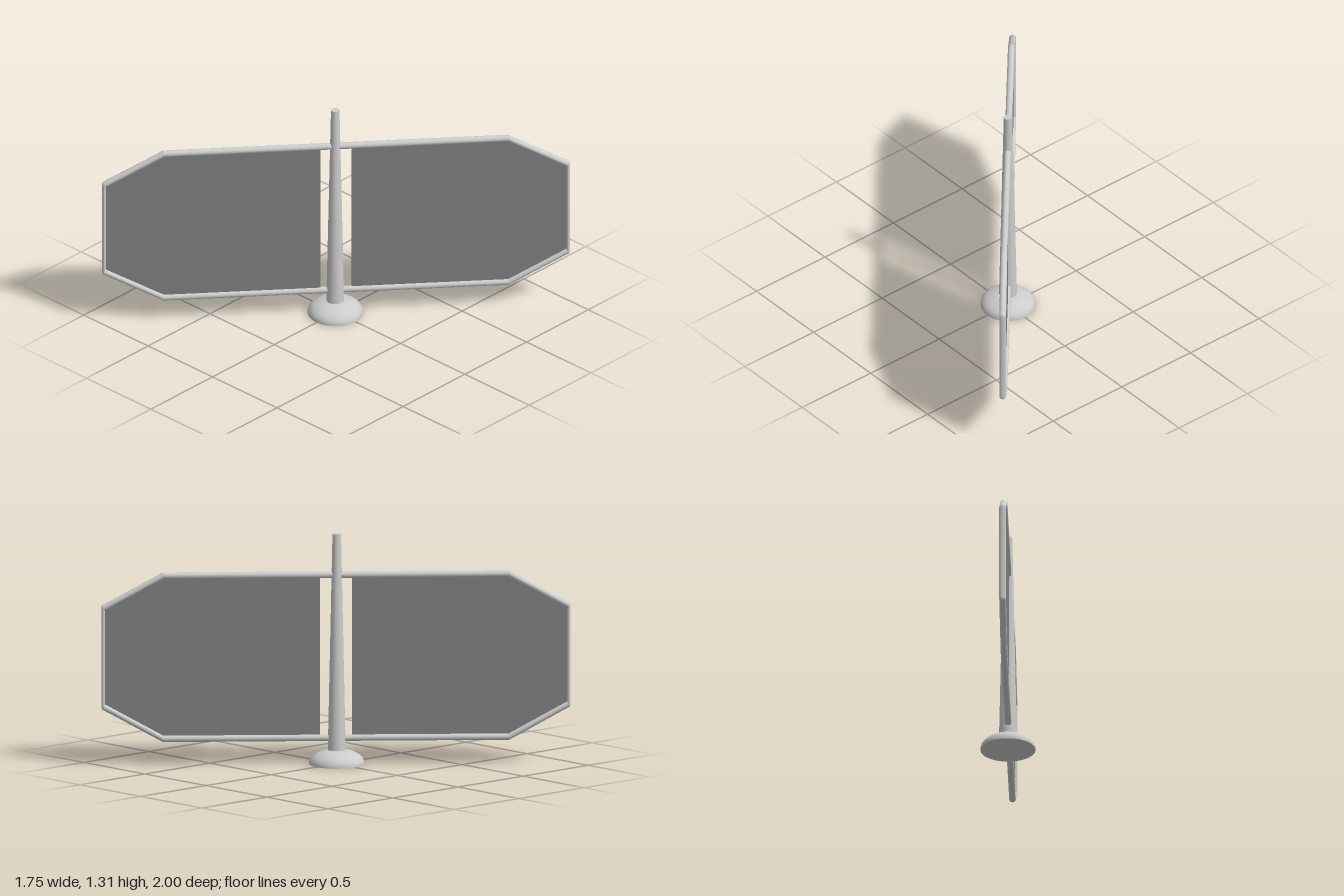
import * as THREE from 'three';

export function createModel() {
  const model = new THREE.Group();
  const metal = new THREE.MeshStandardMaterial({ color: 0xcccccc });
  metal.name = 'light grey metal';
  const screen = new THREE.MeshStandardMaterial({ color: 0x808080 });
  screen.name = 'dark grey screen';

  const add = (parent, name, geometry, material) => {
    const mesh = new THREE.Mesh(geometry, material);
    mesh.name = name;
    parent.add(mesh);
    return mesh;
  };

  // Domed foot with a closed underside
  const dome = [new THREE.Vector2(0, 0), new THREE.Vector2(0.155, 0), new THREE.Vector2(0.155, 0)];
  for (let i = 0; i <= 14; i++) {
    const a = (i / 14) * Math.PI / 2;
    dome.push(new THREE.Vector2(0.155 * Math.cos(a), 0.006 + 0.08 * Math.sin(a)));
  }
  const foot = add(model, 'foot', new THREE.LatheGeometry(dome, 40), metal);
  foot.position.set(-0.004, 0, 0.002);

  // Tapered post
  const post = add(model, 'post', new THREE.CylinderGeometry(0.024, 0.051, 1.26, 28), metal);
  post.position.set(-0.004, 0.05 + 0.63, 0.002);

  // Gate assembly, turned diagonally about the post
  const gate = new THREE.Group();
  gate.name = 'gate';
  gate.rotation.y = 0.855;
  model.add(gate);

  const outline = [
    [0.97, 1.078], [1.306, 0.895], [1.306, 0.335], [0.97, 0.15],
    [-0.97, 0.15], [-1.306, 0.335], [-1.306, 0.895], [-0.97, 1.078],
  ];

  // Tubular frame, narrowed along its length so the upright ends are slimmer
  const squeeze = 0.55, radius = 0.019;
  const frame = new THREE.Group();
  frame.name = 'frame';
  frame.scale.x = squeeze;
  gate.add(frame);
  const up = new THREE.Vector3(0, 1, 0);
  const points = outline.map(([u, y]) => new THREE.Vector3(u / squeeze, y, 0));
  points.forEach((a, i) => {
    const b = points[(i + 1) % points.length];
    const dir = b.clone().sub(a);
    const tube = new THREE.CylinderGeometry(radius, radius, dir.length(), 18, 1, true);
    tube.applyQuaternion(new THREE.Quaternion().setFromUnitVectors(up, dir.normalize()));
    add(frame, 'frameTube', tube, metal).position.copy(a).add(b).multiplyScalar(0.5);
    add(frame, 'frameJoint', new THREE.SphereGeometry(radius, 18, 12), metal).position.copy(a);
  });

  // Two screens, one on each side of the post
  const inner = 0.089, thickness = 0.01;
  const half = [[inner, 1.078], ...outline.slice(0, 4), [inner, 0.15]];
  const shape = new THREE.Shape(half.map(([u, y]) => new THREE.Vector2(u, y)));
  const panel = new THREE.ExtrudeGeometry(shape, { depth: thickness, bevelEnabled: false });
  panel.translate(0, 0, -thickness / 2);
  add(gate, 'leftScreen', panel, screen);
  add(gate, 'rightScreen', panel, screen).rotation.y = Math.PI;

  return model;
}
